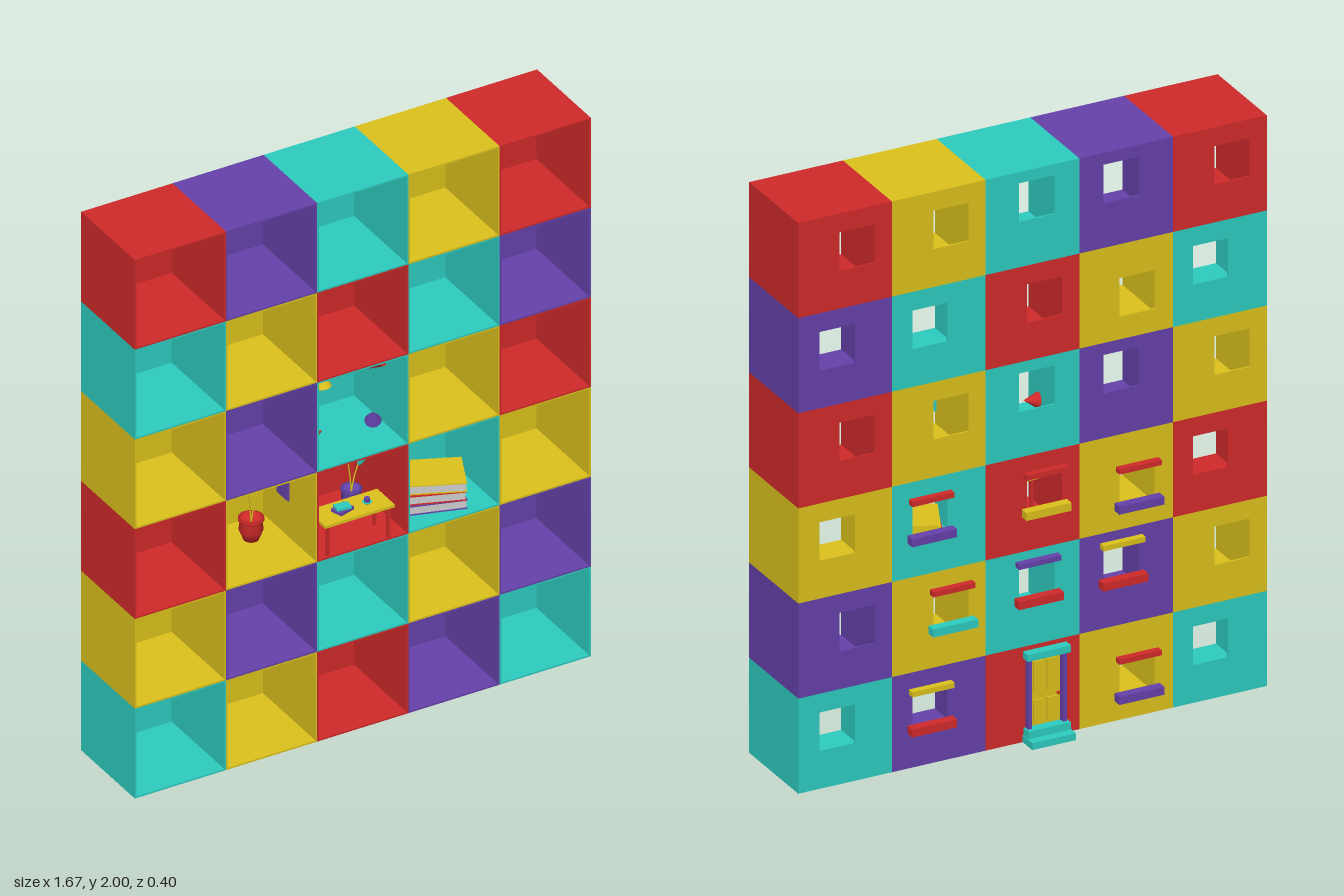
import * as THREE from 'three';

const C = { R: 0xd12a2a, Y: 0xdcc21c, T: 0x2dccc0, P: 0x6542ab, G: 0xcccccc };
const S = 1 / 3;              // cell size
const ZF = 0.198, ZB = -0.135; // front and back planes
const WALL = 0.006;
const WIN_W = 0.125, WIN_H = 0.135;

const mats = {};
for (const k in C) mats[k] = new THREE.MeshStandardMaterial({ color: C[k], side: THREE.DoubleSide });

function add(parent, name, geo, color, x = 0, y = 0, z = 0) {
  const m = new THREE.Mesh(geo, mats[color]);
  m.name = name;
  m.position.set(x, y, z);
  parent.add(m);
  return m;
}
const box = (parent, name, color, w, h, d, x, y, z) =>
  add(parent, name, new THREE.BoxGeometry(w, h, d), color, x, y, z);

// Cell colours, ground floor first
const FLOORS = ['TYRPT', 'YPTYP', 'RYRTY', 'YPTYR', 'TYRTP', 'RPTYR'];
// Window centres per column: [x, height above the cell floor], alternating by floor
const EVEN = [[-0.633, 0.2], [-0.372, 0.147], [-0.042, 0.2], [0.365, 0.2], [0.695, 0.2]];
const ODD = [[-0.71, 0.2], [-0.315, 0.224], [-0.015, 0.227], [0.29, 0.2], [0.625, 0.2]];
const windowAt = (col, row) => {
  const [x, dy] = (row % 2 ? ODD : EVEN)[col];
  return [x, row * S + dy];
};

// Open-fronted room with a rectangular opening in its back wall
function makeCell(col, row) {
  const g = new THREE.Group();
  g.name = 'room';
  const color = FLOORS[row][col];
  const cx = (col - 2) * S, y0 = row * S, cz = (ZF + ZB) / 2, d = ZF - ZB;
  for (const s of [-1, 1]) {
    box(g, 'sideWall', color, WALL, S, d, cx + s * (S - WALL) / 2, y0 + S / 2, cz);
    box(g, s < 0 ? 'floor' : 'ceiling', color, S - 2 * WALL, WALL, d,
      cx, y0 + S / 2 + s * (S - WALL) / 2, cz);
  }
  const [wx, wy] = windowAt(col, row);
  const door = col === 2 && row === 0;
  const b = door ? [-0.106, 0.02, 0.033, 0.3]
    : [wx - WIN_W / 2, wx + WIN_W / 2, wy - WIN_H / 2, wy + WIN_H / 2];
  const rect = (P, l, r, bt, tp) => new P().moveTo(l, bt).lineTo(r, bt).lineTo(r, tp).lineTo(l, tp).closePath();
  const shape = rect(THREE.Shape, cx - S / 2 + WALL, cx + S / 2 - WALL, y0 + WALL, y0 + S - WALL);
  shape.holes.push(rect(THREE.Path, ...b));
  add(g, 'backWall', new THREE.ExtrudeGeometry(shape, { depth: WALL, bevelEnabled: false }), color, 0, 0, ZB);
  return g;
}

// Lintel and sill outside a window
function makeWindowTrim(col, row, lintel, sill) {
  const g = new THREE.Group();
  g.name = 'windowTrim';
  const [x, y] = windowAt(col, row);
  box(g, 'lintel', lintel, 0.15, 0.018, 0.024, x, y + WIN_H / 2, ZB - 0.012);
  box(g, 'sill', sill, 0.16, 0.028, 0.032, x, y - WIN_H / 2 + 0.004, ZB - 0.016);
  return g;
}

function makeDoor() {
  const g = new THREE.Group();
  g.name = 'door';
  const x = -0.043;
  box(g, 'doorLeaf', 'Y', 0.126, 0.268, 0.006, x, 0.167, ZB + 0.003);
  for (const s of [-1, 1]) {
    box(g, 'doorJamb', 'P', 0.014, 0.25, 0.02, x + s * 0.062, 0.17, ZB - 0.01);
    box(g, 'upperPanel', 'Y', 0.035, 0.11, 0.006, x + s * 0.024, 0.22, ZB - 0.003);
    box(g, 'lowerPanel', 'Y', 0.035, 0.08, 0.006, x + s * 0.024, 0.1, ZB - 0.003);
  }
  add(g, 'doorKnob', new THREE.SphereGeometry(0.006, 12, 8), 'R', x - 0.045, 0.15, ZB - 0.008);
  box(g, 'doorLintel', 'T', 0.155, 0.024, 0.032, x, 0.306, ZB - 0.016);
  box(g, 'lowerStep', 'T', 0.156, 0.024, 0.065, x, 0.012, ZB - 0.0325);
  box(g, 'upperStep', 'T', 0.15, 0.026, 0.034, x, 0.037, ZB - 0.017);
  return g;
}

function makeTable() {
  const g = new THREE.Group();
  g.name = 'table';
  const x = -0.013, z = 0.148;
  box(g, 'tableTop', 'Y', 0.255, 0.01, 0.11, x, 0.789, z);
  for (const sx of [-1, 1]) for (const sz of [-1, 1])
    box(g, 'tableLeg', 'R', 0.01, 0.112, 0.01, x + sx * 0.11, 0.729, z + sz * 0.042);
  const book = box(g, 'tableBook', 'P', 0.06, 0.01, 0.045, -0.045, 0.799, z);
  book.rotation.y = 0.3;
  box(g, 'smallBook', 'T', 0.05, 0.008, 0.035, -0.045, 0.808, z).rotation.y = -0.15;
  add(g, 'cup', new THREE.CylinderGeometry(0.01, 0.008, 0.018, 16), 'P', 0.045, 0.803, z);
  add(g, 'saucer', new THREE.CylinderGeometry(0.016, 0.012, 0.004, 16), 'T', 0.045, 0.796, z);
  return g;
}

// Potted plant; leaves are [dx, height, tilt]
function makePlant(x, z, r, pot, leaf, leaves) {
  const g = new THREE.Group();
  g.name = 'plant';
  g.position.set(x, 2 * S + WALL, z);
  const profile = [[0, 0], [0.6, 0], [0.95, 0.9], [0.85, 1.55], [1, 1.7], [1, 1.9], [0.85, 1.9], [0.75, 1.5], [0, 1.5]]
    .map(([a, b]) => new THREE.Vector2(a * r, b * r));
  add(g, 'pot', new THREE.LatheGeometry(profile, 20), pot);
  for (const [dx, h, tilt] of leaves) {
    const curve = new THREE.QuadraticBezierCurve3(new THREE.Vector3(0, r * 1.4, 0),
      new THREE.Vector3(dx * 0.25, h * 0.7, 0), new THREE.Vector3(dx, h, 0));
    add(g, 'stem', new THREE.TubeGeometry(curve, 12, 0.0025, 6), 'Y');
    const m = add(g, 'leaf', new THREE.SphereGeometry(1, 16, 12), leaf, dx, h, 0.004);
    m.scale.set(0.02, 0.046, 0.004);
    m.rotation.z = tilt;
  }
  return g;
}

// Stack of turned books with grey pages
function makeBooks() {
  const g = new THREE.Group();
  g.name = 'bookStack';
  g.position.set(0.327, 2 * S + WALL, 0.07);
  ['P', 'R', 'Y'].forEach((cover, i) => {
    const b = new THREE.Group();
    b.name = 'book';
    b.position.set(i === 2 ? 0.007 : 0, i * 0.034, 0);
    b.rotation.y = -[0.3, 0.36, 0.42][i];
    box(b, 'pages', 'G', 0.19, 0.026, 0.15, 0, 0.017, 0);
    for (const y of [0.002, 0.032]) box(b, 'cover', cover, 0.195, 0.004, 0.155, 0, y, 0);
    box(b, 'spine', cover, 0.195, 0.034, 0.004, 0, 0.017, -0.077);
    g.add(b);
  });
  return g;
}

export function createModel() {
  const model = new THREE.Group();
  model.name = 'roomShelf';
  for (let row = 0; row < 6; row++)
    for (let col = 0; col < 5; col++) model.add(makeCell(col, row));

  // Column, floor, lintel colour, sill colour
  [[1, 0, 'R', 'P'], [3, 0, 'Y', 'R'], [1, 1, 'Y', 'R'], [2, 1, 'P', 'R'], [3, 1, 'R', 'T'],
    [1, 2, 'R', 'P'], [2, 2, 'R', 'Y'], [3, 2, 'R', 'P']]
    .forEach((t) => model.add(makeWindowTrim(...t)));
  model.add(makeDoor(), makeTable(), makeBooks());
  model.add(makePlant(-0.28, -0.02, 0.042, 'R', 'P', [[-0.025, 0.255, 0.2], [0.052, 0.225, -0.4], [0, 0.27, 0]].slice(0, 2)));
  model.add(makePlant(0.092, -0.03, 0.035, 'P', 'T', [[-0.028, 0.235, 0.15], [0.045, 0.185, -0.45]]));

  // Pictures on the back walls: colour, x, y, width, height
  [['R', -0.437, 1.267, 0.08, 0.08], ['T', -0.434, 1.162, 0.048, 0.08], ['Y', -0.209, 1.209, 0.048, 0.048],
    ['T', 0.376, 1.267, 0.075, 0.08], ['P', 0.447, 1.212, 0.048, 0.053], ['R', 0.225, 1.066, 0.048, 0.08],
    ['R', -0.437, 0.947, 0.048, 0.053], ['P', 0.063, 0.903, 0.075, 0.122],
    ['R', 0.439, 0.963, 0.085, 0.042], ['Y', 0.225, 0.857, 0.048, 0.085]]
    .forEach(([c, x, y, w, h]) => box(model, 'picture', c, w, h, 0.006, x, y, ZB + WALL + 0.003));
  // Pictures on side walls
  [['Y', -0.1755, 0.942, 0.05], ['P', -0.1755, 0.85, 0.085], ['Y', 0.157, 0.935, 0.05]]
    .forEach(([c, x, y, h]) => box(model, 'sidePicture', c, 0.006, h, 0.07, x, y, 0));

  // Tilted cones: colour, x, y, tilt
  [['Y', -0.085, 1.262, 0.1, -0.1], ['R', 0.106, 1.258, 2.6, 0.5], ['R', -0.111, 1.068, -1.4, 0.4], ['P', 0.1, 1.066, 0.25, 0.4]]
    .forEach(([c, x, y, tilt, lean]) => {
      const cone = add(model, 'cone', new THREE.ConeGeometry(0.027, 0.05, 20), c, x, y, 0.09);
      cone.rotation.set(lean, 0, tilt);
    });
  return model;
}
